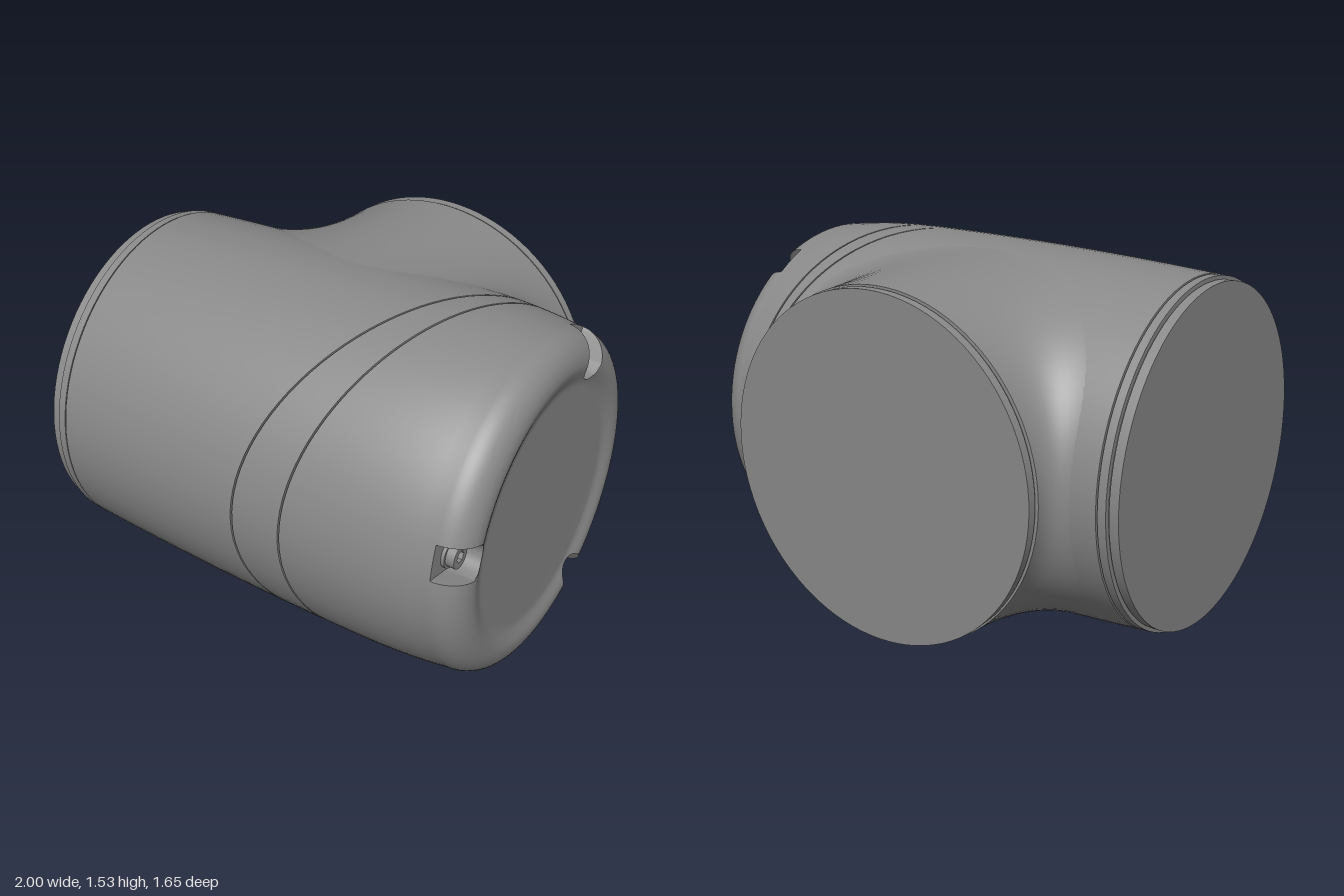
import * as THREE from 'three';
import { toCreasedNormals } from 'three/addons/utils/BufferGeometryUtils.js';

const CY = 0.7675, CZ = 0.06;            // axis of the main barrel (runs along x)
const PORT_X = -0.006;                   // axis of the rear port (runs along z)
const GAP = 0.004;                       // half width of the seams
const FLOOR = 0.88;                      // x of the screw pocket floors
const SCREW_R = 0.612, HALF_W = 0.074;   // screw circle radius, pocket half width
const SCREW_ANGLES = [13, 120, 240].map(THREE.MathUtils.degToRad);
const HALF_A = HALF_W / SCREW_R;

const material = new THREE.MeshStandardMaterial({ color: 0x898989 });

// Barrel radius, widest at x = 0.3
const barrelR = (x) => 0.766 - (x < 0.3 ? 0.038 * ((0.3 - x) / 1.25) ** 2 : 0.031 * ((x - 0.3) / 0.57) ** 3);

// Slanting seams; a = 0 faces the front
const seam1 = (a) => 0.43 - 0.39 * Math.cos(a) - 0.05 * Math.cos(a) ** 2;
const seam2 = (a) => 0.56 - 0.29 * Math.cos(a) - 0.05 * Math.cos(a) ** 2;

// Surface from columns of points, one column per angle
function loft(name, angles, column) {
  const cols = angles.map(column), rows = cols[0].length, index = [];
  for (let i = 0; i < cols.length - 1; i++) {
    for (let j = 0; j < rows - 1; j++) {
      const p = i * rows + j, q = p + rows;
      index.push(p, p + 1, q, p + 1, q + 1, q);
    }
  }
  const geo = new THREE.BufferGeometry().setFromPoints(cols.flat());
  geo.setIndex(index);
  const mesh = new THREE.Mesh(toCreasedNormals(geo, 0.6), material);
  mesh.name = name;
  return mesh;
}

const around = (n, dir = 1) => Array.from({ length: n + 1 }, (_, i) => (dir * i * Math.PI * 2) / n);
const onBarrel = (a) => ([x, r]) => new THREE.Vector3(x, CY + r * Math.sin(a), CZ + r * Math.cos(a));

// Stations along the barrel between two x values
function run(x0, x1, n) {
  return Array.from({ length: n + 1 }, (_, i) => {
    const x = x0 + ((x1 - x0) * i) / n;
    return [x, barrelR(x)];
  });
}
const dip = (x) => [x, barrelR(x) - 0.015];

// Cap end profile: shallow dished centre, raised rim, rounded corner
function capX(r) {
  if (r < 0.605) return 0.978 + 0.022 * THREE.MathUtils.smoothstep(r, 0.51, 0.605);
  return 0.87 + Math.sqrt(Math.max(0, 0.13 ** 2 - (r - 0.605) ** 2));
}

// Signed angle from the nearest screw
const screwOffset = (a) => SCREW_ANGLES.map((s) => Math.atan2(Math.sin(a - s), Math.cos(a - s)))
  .reduce((m, d) => (Math.abs(d) < Math.abs(m) ? d : m));

// Cap column, dropping to the pocket floor near a screw
function capColumn(a) {
  const off = screwOffset(a);
  const inPocket = Math.abs(off) <= HALF_A + 1e-6;
  const nearPocket = Math.abs(off) <= HALF_A + 0.005;
  const v = Math.min(Math.abs(off) / HALF_A, 1) * HALF_W;
  const ri = inPocket ? SCREW_R - Math.sqrt(Math.max(0, HALF_W ** 2 - v * v)) : 0.605;
  const x0 = seam2(a) + GAP;
  const side = [dip(x0), ...run(x0, 0.87, 10)].map(onBarrel(a));
  const face = [];
  for (let k = 15; k >= 0; k--) {
    const r = ri + 0.003 + (0.735 - ri - 0.003) * Math.sin((k / 16) * Math.PI / 2);
    face.push([inPocket ? Math.min(capX(r), FLOOR) : capX(r), r]);
  }
  for (let k = 0; k <= 8; k++) {
    const r = ri + ((0.5 - ri) * k) / 8;
    face.push([capX(r), r]);
  }
  face.push([0.978, 0.25], [0.978, 0]);
  // Pocket walls run parallel instead of fanning out
  const spread = (r) => (nearPocket ? off * (Math.min(1, SCREW_R / Math.max(r, 0.1)) - 1) : 0);
  return [...side, ...face.map(([x, r]) => onBarrel(a + spread(r))([x, r]))];
}

// Even angles plus tight pairs at the pocket walls
function capAngles() {
  const list = around(120).slice(0, -1).filter((a) => Math.abs(screwOffset(a)) > HALF_A + 0.008);
  for (const s of SCREW_ANGLES) {
    for (let k = -8; k <= 8; k++) list.push(s + (HALF_A * k) / 8);
    list.push(s - HALF_A - 0.004, s + HALF_A + 0.004);
  }
  list.sort((a, b) => a - b);
  return [...list, list[0] + Math.PI * 2];
}

// Rear port column: flange, groove, then a wide fillet flowing onto the barrel
function portColumn(a) {
  const c = Math.cos(a), s = Math.sin(a);
  const ring = (r, z) => new THREE.Vector3(PORT_X + r * c, CY + r * s, z);
  const onBody = (x, dy) => {
    const r = barrelR(x) - 0.003;
    return new THREE.Vector3(x, CY + dy, CZ - Math.sqrt(Math.max(0, r * r - dy * dy)));
  };
  const flare = c < 0 ? 0.1 + 0.55 * s * s : 0.05 + 0.45 * s * s;
  const limit = seam1(Math.PI - Math.asin(s * 0.99)) - 0.02;   // stop short of the seam
  const curve = new THREE.QuadraticBezierCurve3(
    ring(0.729, -0.775),
    onBody(PORT_X + 0.735 * c, 0.745 * s),
    onBody(Math.min(PORT_X + (0.728 + flare) * c, limit), 0.763 * s));
  return [ring(0, -0.827), ring(0.723, -0.827), ring(0.723, -0.787), ring(0.715, -0.787),
    ring(0.715, -0.775), ...curve.getPoints(16)];
}

// Socket head screw, pointing along +x
function screw(a) {
  const group = new THREE.Group();
  group.name = 'capScrew';
  const head = new THREE.Shape().absarc(0, 0, 0.05, 0, Math.PI * 2);
  const socket = new THREE.Path();
  for (let k = 0; k <= 6; k++) {
    const t = (-k * Math.PI) / 3;
    socket[k ? 'lineTo' : 'moveTo'](0.026 * Math.cos(t), 0.026 * Math.sin(t));
  }
  head.holes.push(socket);
  const headMesh = new THREE.Mesh(
    new THREE.ExtrudeGeometry(head, { depth: 0.05, bevelEnabled: false, curveSegments: 16 }), material);
  headMesh.name = 'screwHead';
  headMesh.rotation.y = Math.PI / 2;
  const washer = new THREE.Mesh(new THREE.CylinderGeometry(0.06, 0.06, 0.014, 32), material);
  washer.name = 'screwWasher';
  washer.rotation.z = -Math.PI / 2;
  washer.position.x = 0.007;
  group.add(headMesh, washer);
  group.position.copy(onBarrel(a)([FLOOR, SCREW_R]));
  return group;
}

export function createModel() {
  const model = new THREE.Group();
  model.name = 'jointHousing';

  // Main housing with stepped end flange on the -x side
  model.add(loft('mainHousing', around(96), (a) => {
    const end = seam1(a) - GAP;
    return [[-1, 0], [-1, 0.712], [-0.96, 0.712], [-0.96, 0.706], [-0.955, 0.706], [-0.955, 0.727],
      [-0.92, 0.728], [-0.92, 0.718], [-0.914, 0.718], ...run(-0.914, end, 20), dip(end)].map(onBarrel(a));
  }));

  // Slanting band between the two seams
  model.add(loft('seamBand', around(96), (a) => {
    const x0 = seam1(a) + GAP, x1 = seam2(a) - GAP;
    return [dip(seam1(a) - GAP), dip(x0), ...run(x0, x1, 6), dip(x1), dip(seam2(a) + GAP)].map(onBarrel(a));
  }));

  model.add(loft('endCap', capAngles(), capColumn));
  model.add(loft('rearPort', around(96, -1), portColumn));
  SCREW_ANGLES.forEach((a) => model.add(screw(a)));
  return model;
}
